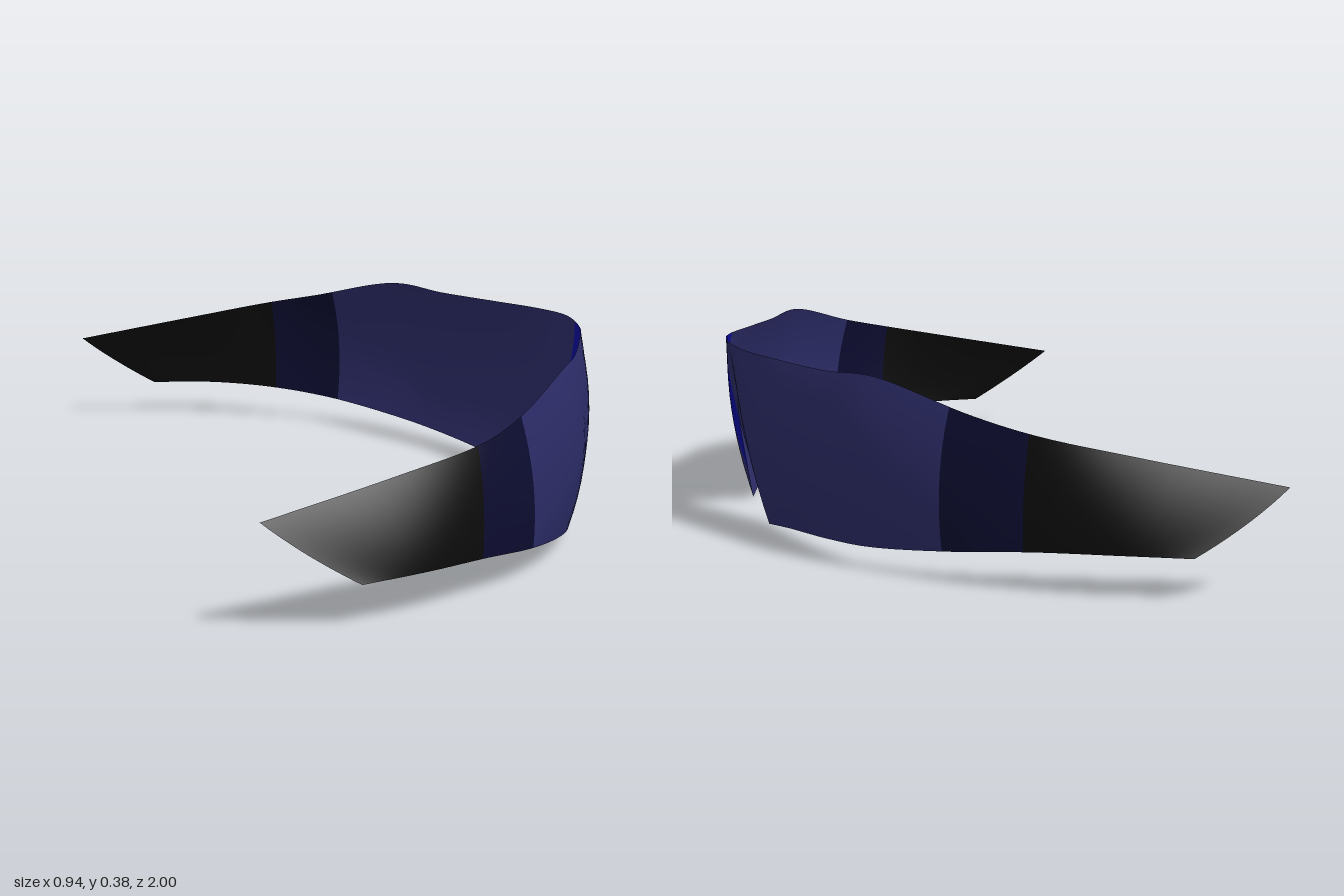
import * as THREE from 'three';

// Half-band columns from nose (0) to temple tip (8): top, middle and bottom edge points
const TOP = [[.47, .377, 0], [.45, .373, .14], [.40, .37, .27], [.32, .368, .45], [.24, .373, .6],
  [.09, .322, .78], [-.02, .293, .87], [-.2, .256, .925], [-.47, .203, .988]];
const MID = [[.455, .29, 0], [.447, .2, .15], [.422, .2, .27], [.352, .2, .45], [.278, .21, .6],
  [.115, .19, .785], [-.01, .185, .877], [-.17, .165, .95], [-.385, .14, 1]];
const BOTTOM = [[.40, 0, .155], [.37, .012, .27], [.315, .025, .45], [.25, .037, .6],
  [.12, .06, .775], [-.01, .075, .875], [-.15, .08, .955], [-.285, .078, 1]];
const APEX = new THREE.Vector3(.445, .2, 0);

const vec = (p) => new THREE.Vector3(...p);
const mirrored = (pts) => new THREE.CatmullRomCurve3([
  ...pts.slice(1).reverse().map(([x, y, z]) => vec([x, y, -z])), ...pts.map(vec)]);
const topCurve = mirrored(TOP);
const midCurve = mirrored(MID);
const bottomCurve = new THREE.CatmullRomCurve3(BOTTOM.map(vec));

// Bottom edge, with a straight-sided nose notch for |u| < 1
function bottomPoint(u) {
  const a = Math.min(Math.abs(u), 8);
  const p = a < 1 ? APEX.clone().lerp(vec(BOTTOM[0]), a) : bottomCurve.getPoint((a - 1) / 7);
  if (u < 0) p.z = -p.z;
  return p;
}

// Point on the band: u runs from -8 to 8 around it, v from 0 (top) to 1 (bottom)
function surface(u, v) {
  const t = THREE.MathUtils.clamp((u + 8) / 16, 0, 1);
  return topCurve.getPoint(t).multiplyScalar((1 - v) * (1 - 2 * v))
    .addScaledVector(midCurve.getPoint(t), 4 * v * (1 - v))
    .addScaledVector(bottomPoint(u), v * (2 * v - 1));
}

// Patch of the band between two side boundaries, each a function of v
function panel(name, material, from, to, steps) {
  const rows = 12, e = 0.01;
  const positions = [], normals = [], index = [];
  for (let i = 0; i <= steps; i++) {
    for (let j = 0; j <= rows; j++) {
      const v = j / rows;
      const u = THREE.MathUtils.lerp(from(v), to(v), i / steps);
      const du = surface(u + e, v).sub(surface(u - e, v));
      const dv = surface(u, v + e).sub(surface(u, v - e));
      positions.push(...surface(u, v).toArray());
      normals.push(...du.cross(dv).normalize().toArray());
      if (i < steps && j < rows) {
        const a = i * (rows + 1) + j, b = a + rows + 1;
        index.push(a, b, a + 1, b, b + 1, a + 1);
      }
    }
  }
  const geometry = new THREE.BufferGeometry();
  geometry.setAttribute('position', new THREE.Float32BufferAttribute(positions, 3));
  geometry.setAttribute('normal', new THREE.Float32BufferAttribute(normals, 3));
  geometry.setIndex(index);
  const mesh = new THREE.Mesh(geometry, material);
  mesh.name = name;
  return mesh;
}

function flat(name, color) {
  const m = new THREE.MeshStandardMaterial({ color, side: THREE.DoubleSide });
  m.name = name;
  return m;
}

export function createModel() {
  const lens = flat('indigo lens', 0x2b2b66);
  const accent = flat('bright blue', 0x0c0c9c);
  const navy = flat('dark navy', 0x0c0c30);
  const black = flat('black', 0x0b0b0b);
  const at = (u) => () => u;

  // Slanted sides of the nose accent
  const accentStart = (v) => 0.5 - 0.4 * v * v;
  const accentEnd = (v) => 1.2 - 0.55 * v;

  const group = new THREE.Group();
  group.name = 'visor';
  group.add(
    panel('rightTemple', black, at(-8), at(-5.88), 14),
    panel('rightBand', navy, at(-5.88), (v) => -4.78 - 0.08 * v, 8),
    panel('rightLens', lens, (v) => -4.78 - 0.08 * v, at(-1), 28),
    panel('rightNoseSide', lens, at(-1), at(0), 10),
    panel('noseBridge', lens, at(0), accentStart, 5),
    panel('noseAccent', accent, accentStart, accentEnd, 8),
    panel('leftNoseSide', lens, accentEnd, at(1.25), 12),
    panel('leftLens', lens, at(1.25), at(5), 28),
    panel('leftBand', navy, at(5), at(6.05), 8),
    panel('leftTemple', black, at(6.05), at(8), 14),
  );
  return group;
}
